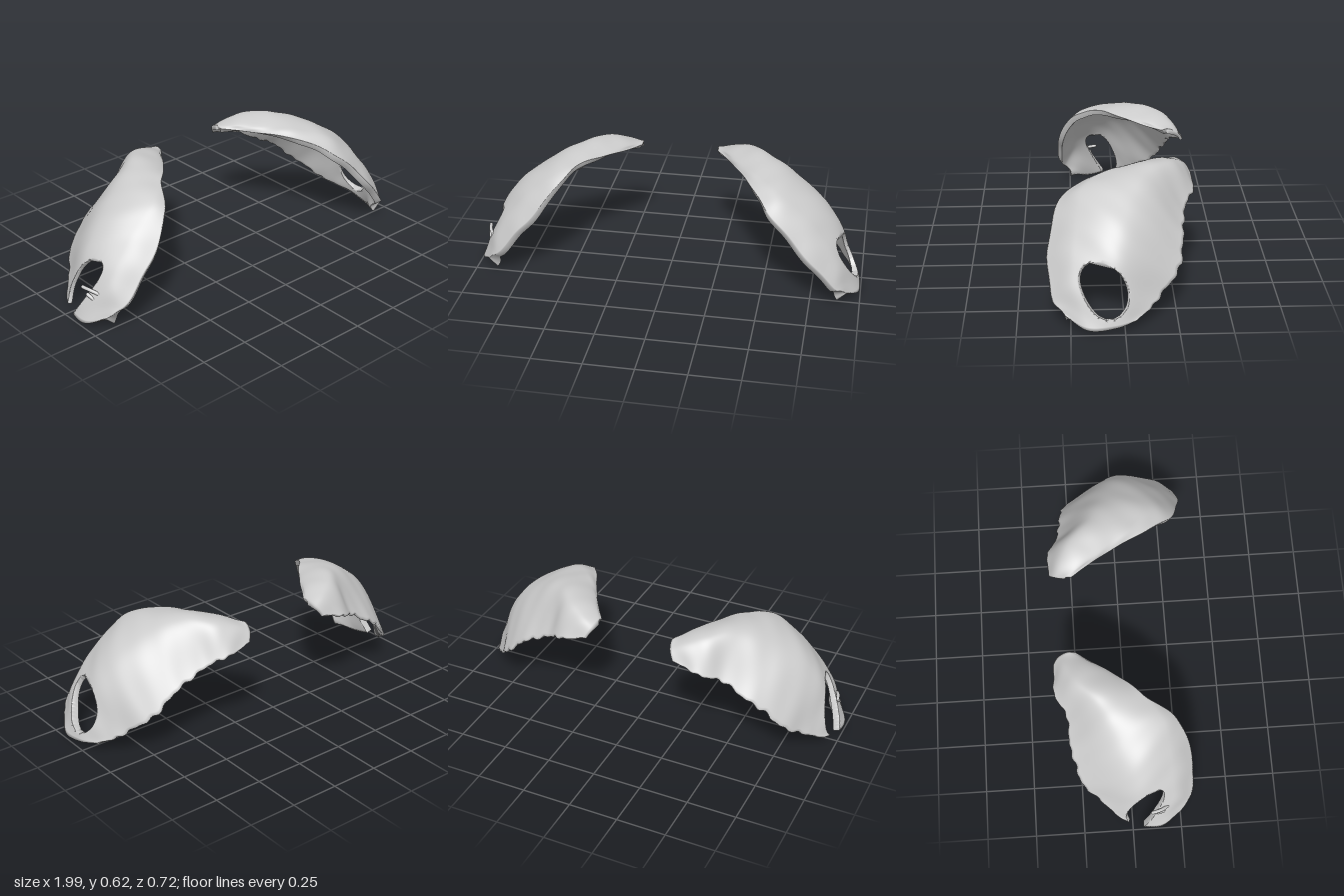
import * as THREE from 'three';

// Rails running from the inner top end to the outer bottom end of one plate
const rails = [
  [[.24, .49, -.355], [.38, .45, -.36], [.49, .40, -.31], [.64, .315, -.30], [.77, .20, -.26], [.87, .10, -.155], [.95, .05, -.06]], // back edge
  [[.21, .54, -.32], [.36, .60, -.25], [.50, .60, -.13], [.66, .53, -.05], [.82, .405, .01], [.92, .23, .04], [.99, .03, .04]],    // crown
  [[.20, .56, -.27], [.31, .58, -.10], [.45, .585, .07], [.58, .545, .19], [.74, .42, .22], [.88, .24, .23], [.99, .02, .17]],     // ridge
  [[.20, .55, -.24], [.30, .55, -.09], [.42, .55, .14], [.525, .485, .295], [.71, .30, .36], [.87, .12, .34], [.93, .07, .28]],    // front edge
].map(r => new THREE.CatmullRomCurve3(r.map(p => new THREE.Vector3(...p))));

const U = 90, V = 56;

// Point of the outer surface, u in 0..6 along the rails, v in 0..3 across them
function surface(u, v) {
  const across = new THREE.CatmullRomCurve3(rails.map(r => r.getPoint(Math.min(Math.max(u / 6, 0), 1))));
  return across.getPoint(Math.min(Math.max(v / 3, 0), 1));
}

// Small uneven relief of the surface
const relief = (u, v) =>
  .002 * Math.sin(u * 4.1 + v * 1.3) * Math.sin(v * 3.7 - u * 1.9) + .0008 * Math.sin(u * 9 + v * 5);

// Closed, curved plate with a leaning opening; side is +1 or -1
function plateGeometry(side, opening, frontScale, frontTrim) {
  const W = V + 1, count = (U + 1) * W;
  const outer = [], inner = [], inside = [];
  for (let i = 0; i <= U; i++) {
    for (let j = 0; j <= V; j++) {
      const u = 6 * i / U;
      // ragged edges
      const backCut = .03 + .03 * Math.sin(u * 7 + side) * Math.sin(u * 3.1) + .012 * Math.sin(u * 15);
      const frontCut = .04 + .03 * Math.sin(u * 6 - side) + frontTrim * Math.exp(-((u - 1.9) ** 2) / 1.5);
      let v = backCut + (3 - backCut - frontCut) * j / V;
      // push points within the opening out to its rim
      const k = 1 - Math.abs((u - opening.u) / opening.ru) ** 2.3;
      const half = k > 0 ? opening.rv * k ** (1 / 2.3) : 0;
      const middle = opening.v + opening.lean * (u - opening.u);
      const d = v - middle;
      inside.push(Math.abs(d) < half);
      if (Math.abs(d) < half) v = middle + (d < 0 ? -half : half);

      const p = surface(u, v), e = .03;
      const du = surface(u + e, v).sub(surface(u - e, v));
      const dv = surface(u, v + e).sub(surface(u, v - e));
      const n = dv.cross(du).normalize();
      // thicker towards the front edge and the foot
      const thick = .014 + (.022 + .03 * THREE.MathUtils.smoothstep(u, 5, 6)) * v / 3;
      const q = p.clone().addScaledVector(n, relief(u, v) - thick);
      p.addScaledVector(n, relief(u, v));
      for (const [list, a] of [[outer, p], [inner, q]])
        list.push(side * a.x, Math.max(a.y, 0), a.z > 0 ? a.z * frontScale : a.z);
    }
  }

  const index = [];
  const quad = (a, b, c, d) => side > 0
    ? index.push(a, b, c, a, c, d) : index.push(a, c, b, a, d, c);
  const kept = (i, j) => i >= 0 && j >= 0 && i < U && j < V &&
    !(inside[i * W + j] && inside[i * W + j + 1] && inside[(i + 1) * W + j] && inside[(i + 1) * W + j + 1]);
  for (let i = 0; i < U; i++) {
    for (let j = 0; j < V; j++) {
      if (!kept(i, j)) continue;
      const a = i * W + j, b = a + 1, c = b + W, d = a + W;
      quad(a, b, c, d);
      quad(a + count, d + count, c + count, b + count);
      // walls along every free edge
      const wall = (p, q) => quad(q, p, p + count, q + count);
      if (!kept(i - 1, j)) wall(a, b);
      if (!kept(i, j + 1)) wall(b, c);
      if (!kept(i + 1, j)) wall(c, d);
      if (!kept(i, j - 1)) wall(d, a);
    }
  }
  const g = new THREE.BufferGeometry();
  g.setAttribute('position', new THREE.Float32BufferAttribute(outer.concat(inner), 3));
  g.setIndex(index);
  g.computeVertexNormals();
  return g;
}

export function createModel() {
  const group = new THREE.Group();
  const material = new THREE.MeshStandardMaterial({ color: 0xcccccc, side: THREE.DoubleSide });
  const add = (name, geometry) => {
    const mesh = new THREE.Mesh(geometry, material);
    mesh.name = name;
    group.add(mesh);
  };

  // Left plate with a closed hole, right plate with a notch open at its end
  add('leftPlate', plateGeometry(1, { u: 5.25, ru: .56, v: 1.27, rv: .62, lean: -.15 }, 1, 0));
  add('rightPlate', plateGeometry(-1, { u: 5.45, ru: .75, v: 1.05, rv: .5, lean: -.5 }, .9, .8));

  // Thin splinters reaching into the notch
  const splinters = [
    [[-.91, .16, .19], [-.94, .18, .15], [-.955, .185, .10]],
    [[-.92, .12, .18], [-.94, .14, .155], [-.95, .155, .13]],
  ];
  splinters.forEach((pts, i) => {
    const path = new THREE.CatmullRomCurve3(pts.map(p => new THREE.Vector3(...p)));
    add('splinter' + (i + 1), new THREE.TubeGeometry(path, 10, .009, 8));
    const tip = new THREE.SphereGeometry(.009, 8, 6);
    tip.translate(...pts[2]);
    add('splinterTip' + (i + 1), tip);
  });
  return group;
}
